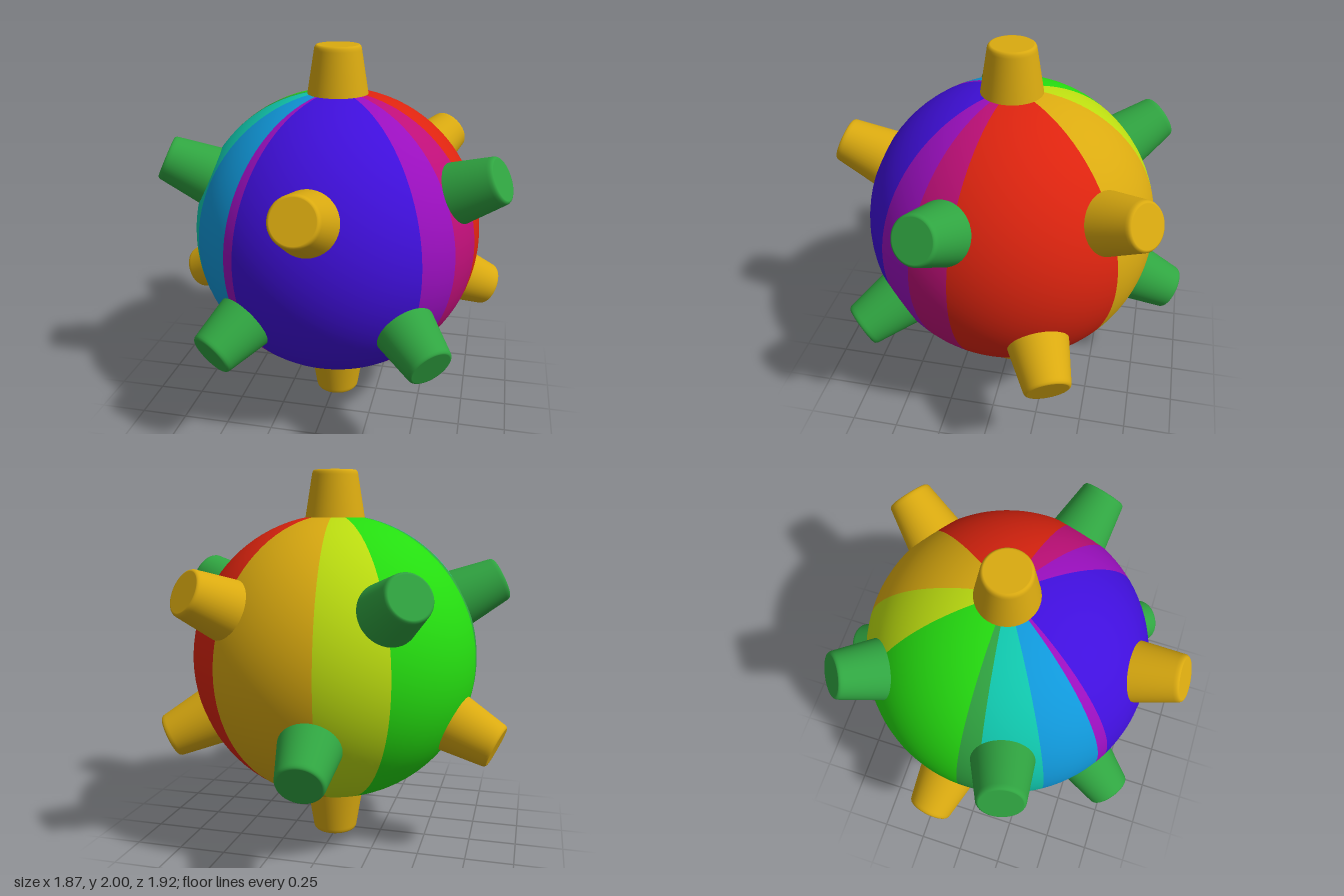
import * as THREE from 'three';

const mat = (name, color) => {
  const m = new THREE.MeshStandardMaterial({ color });
  m.name = name;
  return m;
};

export function createModel() {
  const gold = mat('gold', 0xdaaa10);
  const leaf = mat('leafGreen', 0x30a541);
  const red = mat('red', 0xdd240f);
  const violet = mat('violet', 0x400fdc);
  const purple = mat('purple', 0x9a0fbe);
  const magenta = mat('magenta', 0xbe0f78);
  const lime = mat('lime', 0xbcdd10);
  const green = mat('brightGreen', 0x25dd10);
  const teal = mat('teal', 0x10c8ae);
  const blue = mat('blue', 0x1098da);

  const group = new THREE.Group();
  const rad = THREE.MathUtils.degToRad;

  const ball = new THREE.Group();
  ball.name = 'ball';
  ball.position.set(0.014, 1, -0.011);
  group.add(ball);

  // Ball gores: start angle in degrees, from the front towards +x
  const gores = [
    [-173, gold === null ? 0 : lime], [-145.5, green], [-92, leaf], [-83.2, teal],
    [-58.2, blue], [-34.6, purple], [-29.7, violet], [43.2, purple],
    [60.5, magenta], [77.8, red], [143.7, gold],
  ];
  gores.forEach(([start, material], i) => {
    const end = i + 1 < gores.length ? gores[i + 1][0] : gores[0][0] + 360;
    const span = end - start;
    const geo = new THREE.SphereGeometry(
      0.77, Math.max(2, Math.ceil(span / 4)), 48, rad(start + 90), rad(span));
    const gore = new THREE.Mesh(geo, material);
    gore.name = 'ballGore';
    ball.add(gore);
  });

  // Tapered stud with a softly rounded rim, standing along +y
  const studGeo = new THREE.LatheGeometry([
    [0.164, 0.72], [0.123, 0.972], [0.1225, 0.976], [0.12, 0.988],
    [0.115, 0.996], [0.109, 1], [0.105, 1], [0, 1],
  ].map(([r, y]) => new THREE.Vector2(r, y)), 48);

  // Studs: azimuth, elevation, colour
  const studs = [
    [0, 90, gold], [0, -90, gold],
    [0, 22.5, gold], [73, 25, leaf], [143.5, 24.5, gold], [-144, 25, leaf], [-74, 25.3, leaf],
    [41, -23.8, leaf], [112.8, -25, gold], [-175.3, -25, leaf], [-101, -23.5, gold], [-32, -25, leaf],
  ];
  const up = new THREE.Vector3(0, 1, 0);
  for (const [az, el, material] of studs) {
    const dir = new THREE.Vector3().setFromSphericalCoords(1, rad(90 - el), rad(az));
    const stud = new THREE.Mesh(studGeo, material);
    stud.name = 'stud';
    stud.quaternion.setFromUnitVectors(up, dir);
    ball.add(stud);
  }

  return group;
}
